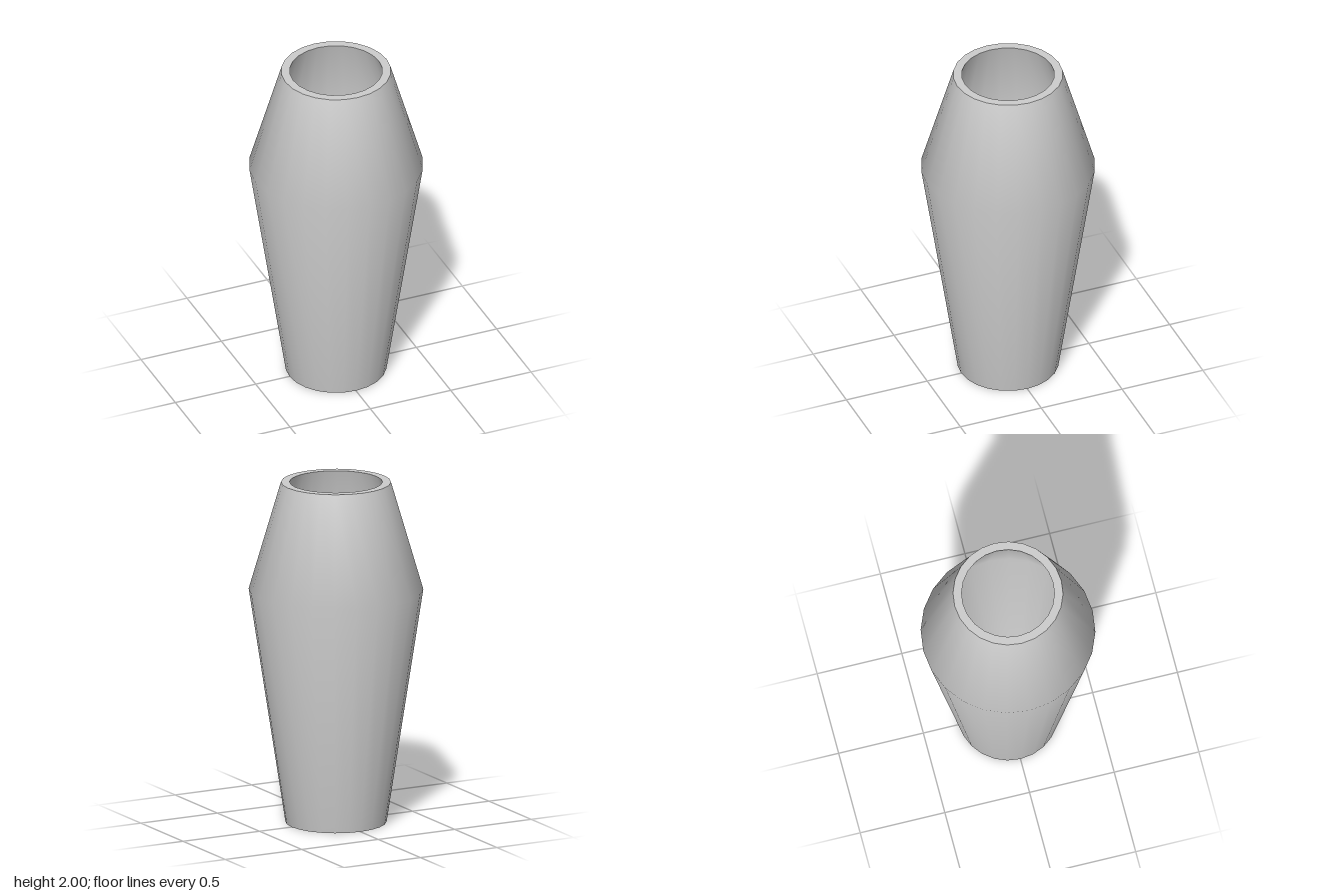
import * as THREE from 'three';

const SIDES = 24;

export function createModel() {
  const model = new THREE.Group();
  model.name = 'vase';
  const clay = new THREE.MeshStandardMaterial({ color: 0xcccccc });
  clay.name = 'light grey';

  // Each part turns its own profile, so edges between parts stay sharp
  const turn = (name, profile) => {
    const points = profile.map(([r, y]) => new THREE.Vector2(r, y));
    const mesh = new THREE.Mesh(new THREE.LatheGeometry(points, SIDES), clay);
    mesh.name = name;
    model.add(mesh);
  };

  // Profiles run from the centre of the base, up the outside and down the inside
  turn('base', [[0, 0], [0.29, 0]]);
  turn('outerWall', [[0.29, 0], [0.5, 1.37], [0.315, 2]]);
  turn('rim', [[0.315, 2], [0.266, 2]]);
  turn('innerWall', [[0.266, 2], [0.44, 1.37], [0.213, 0.06]]);
  turn('innerFloor', [[0.213, 0.06], [0, 0.06]]);

  return model;
}
